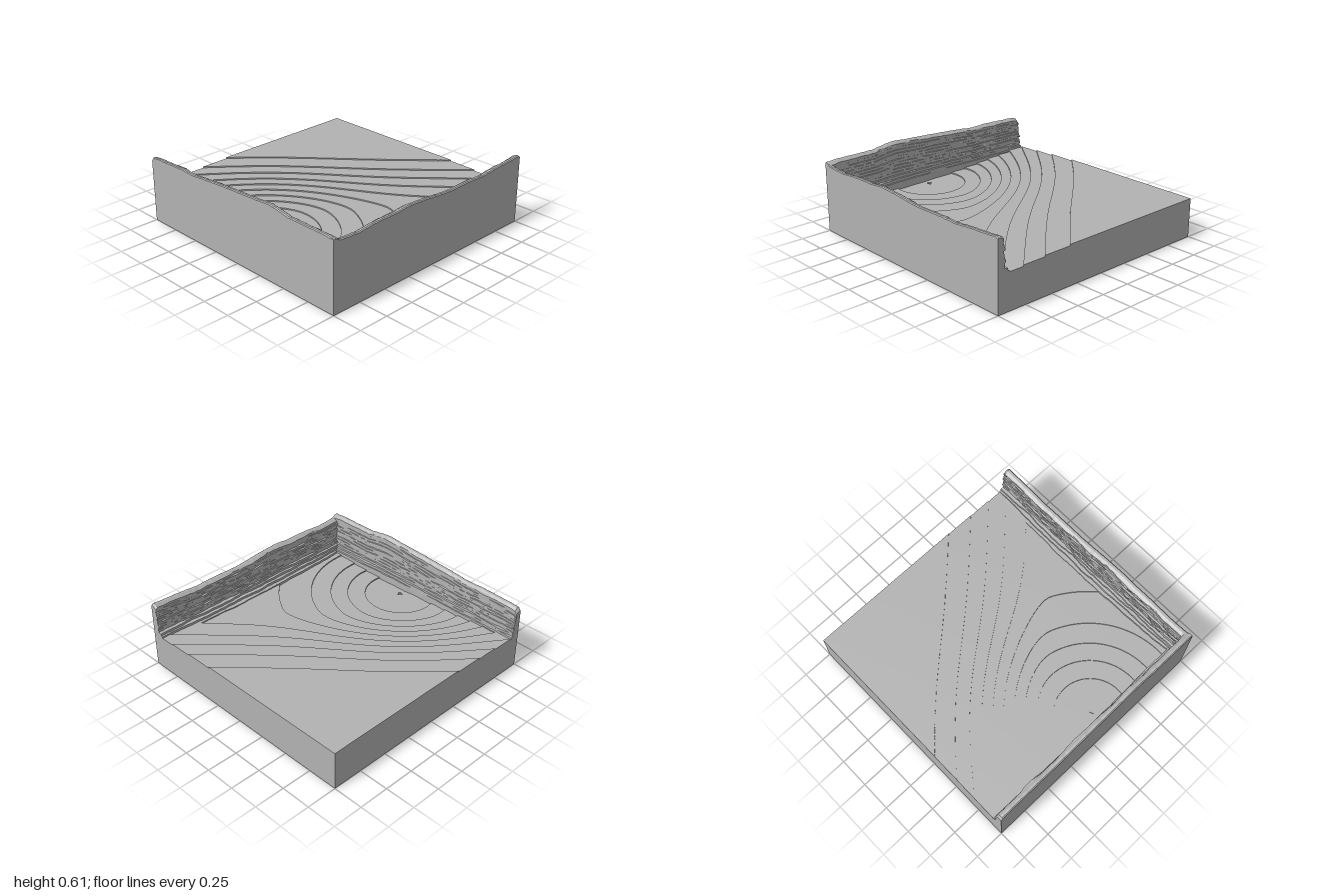
import * as THREE from 'three';

const STEP = 0.01; // height of one terrace

function toMesh(name, positions, material) {
  const geo = new THREE.BufferGeometry();
  geo.setAttribute('position', new THREE.Float32BufferAttribute(positions, 3));
  geo.computeVertexNormals();
  const mesh = new THREE.Mesh(geo, material);
  mesh.name = name;
  return mesh;
}

// Repeatable noise in -1..1
function hash(i, k) {
  const v = Math.sin(i * 127.1 + k * 311.7) * 43758.5453;
  return (v - Math.floor(v)) * 2 - 1;
}
function noise(x, k) {
  const i = Math.floor(x);
  return THREE.MathUtils.lerp(hash(i, k), hash(i + 1, k), THREE.MathUtils.smoothstep(x - i, 0, 1));
}

// Linear reading of a list of [position, value] pairs
function sample(list, s) {
  const i = Math.max(1, list.findIndex((p) => p[0] >= s));
  const [a, b] = [list[i - 1], list[i]];
  return THREE.MathUtils.lerp(a[1], b[1], (s - a[0]) / (b[0] - a[0]));
}

// Ground: a plateau sloping to a hollow beside the side wall
function groundHeight(x, z) {
  const ramp = 0.05 * THREE.MathUtils.smoothstep(z - x, -0.95, 0.5);
  const hollow = 0.055 * Math.exp(-((x + 0.85) ** 2 + (z - 0.1) ** 2) / 0.42);
  return 0.3249 - ramp - hollow;
}

// Keep the part of a polygon of [x, z, level] on one side of a level
function clip(poly, level, sign) {
  const out = [];
  poly.forEach((a, i) => {
    const b = poly[(i + 1) % poly.length];
    const inA = (a[2] - level) * sign >= 0;
    const inB = (b[2] - level) * sign >= 0;
    if (inA) out.push(a);
    if (inA !== inB) {
      const t = (level - a[2]) / (b[2] - a[2]);
      out.push([a[0] + (b[0] - a[0]) * t, a[1] + (b[1] - a[1]) * t, level]);
    }
  });
  return out;
}

// Flat terraces with upright risers, outer sides and a base
function terracedGround(material) {
  const pos = [];
  const drop = (a, b, top, low) => pos.push(
    a[0], top, a[1], a[0], low, a[1], b[0], low, b[1],
    a[0], top, a[1], b[0], low, b[1], b[0], top, b[1]);

  function addTriangle(tri) {
    const levels = tri.map((p) => p[2]);
    for (let k = Math.floor(Math.min(...levels)); k <= Math.max(...levels); k++) {
      const poly = clip(clip(tri, k, 1), k + 1, -1);
      const y = k * STEP;
      poly.forEach((a, i) => {
        const b = poly[(i + 1) % poly.length];
        if (i > 0 && i < poly.length - 1) {
          pos.push(poly[0][0], y, poly[0][1], a[0], y, a[1], b[0], y, b[1]);
        }
        const onRim = [0, 1].some((c) => Math.abs(a[c]) === 1 && a[c] === b[c]);
        if (onRim) drop(a, b, y, 0);
        else if (a[2] === k && b[2] === k) drop(a, b, y, y - STEP);
      });
    }
  }

  const n = 56;
  const point = (i, j) => {
    const x = (i / n) * 2 - 1;
    const z = (j / n) * 2 - 1;
    return [x, z, groundHeight(x, z) / STEP];
  };
  for (let i = 0; i < n; i++) {
    for (let j = 0; j < n; j++) {
      const [a, b, c, d] = [point(i, j + 1), point(i + 1, j + 1), point(i + 1, j), point(i, j)];
      addTriangle([a, b, c]);
      addTriangle([a, c, d]);
    }
  }
  pos.push(-1, 0, -1, 1, 0, -1, 1, 0, 1, -1, 0, -1, 1, 0, 1, -1, 0, 1);
  return toMesh('terracedGround', pos, material);
}

// Wall with a flat outer face and layered rock inside, lofted along x at z = 1
function rockWall(name, topLine, foot, seed, material) {
  const layers = 13;
  const segments = 110;

  function section(s) {
    const top = sample(topLine, s) + 0.002 * noise(s * 30, seed);
    const pts = [[0, 0], [0, top - 0.006], [0.008, top], [0.028, top - 0.002], [0.042, top - 0.012]];
    for (let k = 0; k < layers; k++) {
      const t = k / (layers - 1);
      const flare = Math.max(0, (t - 0.72) / 0.28) ** 1.5;
      const rough = 0.009 * noise(s * 6 + k * 3.7, seed + k) + 0.004 * noise(s * 28, seed + k + 50);
      const d = THREE.MathUtils.lerp(0.05 + 0.022 * t, foot(s), flare) + rough * (1 - 0.5 * flare);
      const yAt = (m) => THREE.MathUtils.lerp(top - 0.016, 0.26, m / layers);
      pts.push([d, yAt(k) - 0.002], [d, yAt(k + 1)]);
    }
    pts.push([foot(s), 0.2], [foot(s), 0]);
    return pts;
  }

  const pos = [];
  const put = (s, p) => pos.push(s, p[1], 1 - p[0]);
  const stations = Array.from({ length: segments + 1 }, (_, i) => (i / segments) * 2 - 1);
  const sections = stations.map(section);
  for (let i = 0; i < segments; i++) {
    const [s0, s1, A, B] = [stations[i], stations[i + 1], sections[i], sections[i + 1]];
    A.forEach((a, j) => {
      const m = (j + 1) % A.length;
      put(s0, a); put(s1, B[j]); put(s0, A[m]);
      put(s1, B[j]); put(s1, B[m]); put(s0, A[m]);
    });
  }

  // End caps
  for (const [i, sign] of [[0, -1], [segments, 1]]) {
    const pts = sections[i].map((p) => new THREE.Vector2(...p));
    for (const face of THREE.ShapeUtils.triangulateShape(pts, [])) {
      const area = THREE.ShapeUtils.area(face.map((f) => pts[f]));
      const order = area * sign > 0 ? face : [...face].reverse();
      order.forEach((f) => put(stations[i], sections[i][f]));
    }
  }
  return toMesh(name, pos, material);
}

export function createModel() {
  const stone = new THREE.MeshStandardMaterial({ color: 0xb2b2b2 });
  stone.name = 'grey stone';

  const group = new THREE.Group();
  group.name = 'terrainTile';
  group.add(terracedGround(stone));

  // Front wall, along x
  const frontTop = [[-1, 0.575], [-0.93, 0.552], [-0.78, 0.543], [-0.6, 0.557], [-0.4, 0.56],
    [-0.25, 0.57], [-0.05, 0.556], [0.1, 0.54], [0.2, 0.535], [0.4, 0.541], [0.58, 0.536],
    [0.7, 0.549], [0.9, 0.56], [0.98, 0.57], [1, 0.555]];
  group.add(rockWall('frontRockWall', frontTop,
    (s) => 0.105 + 0.04 * Math.cos((s - 0.1) * 1.4) + 0.004 * noise(s * 9, 5), 1, stone));

  // Side wall, turned to run along z at x = -1
  const sideTop = [[-1, 0.515], [-0.98, 0.542], [-0.9, 0.549], [-0.6, 0.558], [-0.5, 0.55],
    [-0.4, 0.56], [-0.2, 0.575], [0, 0.588], [0.2, 0.598], [0.35, 0.609], [0.45, 0.6],
    [0.55, 0.581], [0.9, 0.58], [1, 0.573]];
  const side = rockWall('sideRockWall', sideTop,
    (s) => 0.088 + 0.02 * Math.max(0, s) + 0.006 * noise(s * 9, 8), 31, stone);
  side.rotation.y = -Math.PI / 2;
  group.add(side);

  return group;
}
